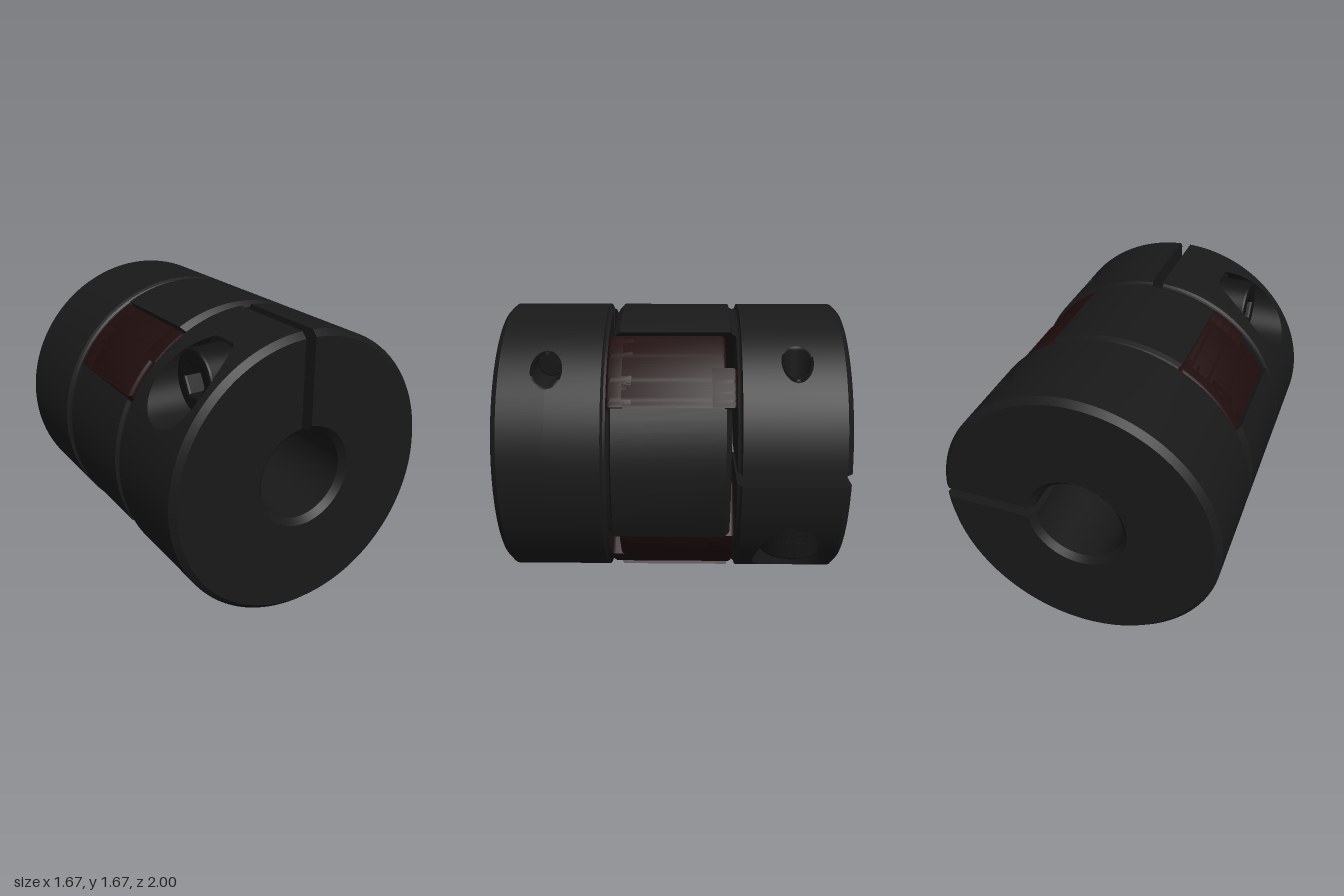
import * as THREE from 'three';
import { mergeGeometries, toCreasedNormals } from 'three/addons/utils/BufferGeometryUtils.js';

const R = 0.833, BORE = 0.265, SLIT = 0.033, FACE = 0.367;
const SCREW_Y = 0.567, SCREW_Z = 0.7;             // clamp screw axis runs along x
const POCKET_R = 0.215, POCKET_X = 0.33, HOLE_R = 0.09, HOLE_X = 0.4;

const dark = new THREE.MeshStandardMaterial({ color: 0x191919, side: THREE.DoubleSide });
const steel = new THREE.MeshStandardMaterial({ color: 0x131313 });
const red = new THREE.MeshStandardMaterial({ color: 0x200d0d });

function mesh(name, geometry, material) {
  const m = new THREE.Mesh(geometry, material);
  m.name = name;
  return m;
}

// Surface over a (nu x nv) grid; fn(u, v) returns [x, y, z]
function grid(nu, nv, fn) {
  const pos = [], idx = [];
  for (let j = 0; j <= nv; j++) for (let i = 0; i <= nu; i++) pos.push(...fn(i / nu, j));
  for (let j = 0; j < nv; j++) for (let i = 0; i < nu; i++) {
    const a = j * (nu + 1) + i, b = a + nu + 1;
    idx.push(a, a + 1, b, a + 1, b + 1, b);
  }
  const g = new THREE.BufferGeometry();
  g.setAttribute('position', new THREE.Float32BufferAttribute(pos, 3));
  g.setIndex(idx);
  g.computeVertexNormals();
  return g;
}

// Point on a ring that is open at the clamp slit
function ringPoint(u, r, z) {
  const gap = Math.asin(SLIT / r);
  const a = Math.PI / 2 + gap + u * 2 * (Math.PI - gap);
  return [r * Math.cos(a), r * Math.sin(a), z];
}

const surfaceX = y => Math.sqrt(Math.max(0, R * R - y * y));
const POCKET_TOP = surfaceX(POCKET_X);

// Half width along z of the screw openings in the outer skin
function opening(u) {
  const [x, y] = ringPoint(u, R, 0);
  const r = x < -POCKET_X ? POCKET_R : x > HOLE_X ? HOLE_R : 0;
  return Math.sqrt(Math.max(0, r * r - (y - SCREW_Y) ** 2));
}

function hubBody() {
  const parts = [];
  const band = (p, q) => parts.push(grid(180, 1, (u, j) => ringPoint(u, ...(j ? q : p))));
  // groove, end chamfers, faces and bore
  const groove = [[0.8, FACE], [0.806, 0.38], [0.818, 0.389], [R, 0.393]];
  const rest = [[R, 0.967], [0.8, 1], [0.3, 1], [BORE, 0.965], [BORE, FACE], [0.8, FACE]];
  for (const line of [groove, rest])
    for (let i = 0; i + 1 < line.length; i++) band(line[i], line[i + 1]);
  // outer skin, parted around the screw openings
  parts.push(grid(720, 1, (u, j) => ringPoint(u, R, j ? SCREW_Z - opening(u) : 0.393)));
  parts.push(grid(720, 1, (u, j) => ringPoint(u, R, j ? 0.967 : SCREW_Z + opening(u))));
  // screw head pocket: wall and floor
  const pocket = (u, r) => [
    Math.min(POCKET_TOP, SCREW_Y + r * Math.cos(u * 2 * Math.PI)),
    SCREW_Z + r * Math.sin(u * 2 * Math.PI)];
  parts.push(grid(96, 1, (u, j) => {
    const [y, z] = pocket(u, POCKET_R);
    return [j ? -POCKET_X : -surfaceX(y), y, z];
  }));
  parts.push(grid(96, 1, (u, j) => [-POCKET_X, ...pocket(u, j ? POCKET_R : 0.05)]));
  // threaded hole on the far side
  const turns = 20;
  parts.push(grid(40, turns, (u, j) => {
    const r = j === turns || j % 2 ? HOLE_R : HOLE_R - 0.014;
    const [y, z] = pocket(u, r);
    return [Math.min(j === turns ? 1 : HOLE_X + j * 0.0145, surfaceX(y)), y, z];
  }));
  return mergeGeometries(parts);
}

// Walls of the clamp slit
function slitWall(x) {
  const s = new THREE.Shape([[FACE, BORE], [0.965, BORE], [1, 0.3], [1, 0.8], [0.967, R],
    [0.393, R], [0.38, 0.806], [FACE, 0.8]].map(p => new THREE.Vector2(...p)));
  const g = new THREE.ShapeGeometry(s).rotateY(-Math.PI / 2).translate(x, 0, 0);
  return mesh('slitWall', g, dark);
}

// Jaw: sector section with sides parallel to the neighbouring spider legs
function jaw() {
  const rows = [[-0.333, 0.8], [-0.333, 0.8], [-0.303, R], [0.335, R], [0.345, 0.811],
    [FACE, 0.8]];
  const section = (r) => {
    const pts = [];
    for (const [rad, dir] of [[r, 1], [0.4, -1]]) {
      const half = Math.PI / 4 - Math.asin(0.25 / rad);
      for (let i = 0; i <= 12; i++) {
        const a = dir * half * (i / 6 - 1);
        pts.push([rad * Math.cos(a), rad * Math.sin(a)]);
      }
    }
    pts.push(pts[0]);
    return pts;
  };
  const g = grid(26, rows.length - 1, (u, j) => {
    const [z, r] = rows[j];
    return j === 0 ? [0.6, 0, z] : [...section(r)[Math.round(u * 26)], z];
  });
  return toCreasedNormals(g, 0.5);
}

function clampScrew() {
  const g = new THREE.Group();
  g.name = 'clampScrew';
  // threaded shank
  const pts = [new THREE.Vector2(0, -0.43)];
  for (let i = 0; i <= 50; i++)
    pts.push(new THREE.Vector2(i % 2 ? 0.088 : 0.072, -0.43 + i * 0.0154));
  const shank = toCreasedNormals(new THREE.LatheGeometry(pts, 32), 0.3).rotateZ(Math.PI / 2);
  g.add(mesh('shank', shank, steel));
  // head with hex socket
  const base = new THREE.CylinderGeometry(0.18, 0.18, 0.09, 48).rotateZ(Math.PI / 2);
  g.add(mesh('headBase', base.translate(-0.375, 0, 0), steel));
  const rim = new THREE.Shape().absarc(0, 0, 0.18, 0, Math.PI * 2);
  const hex = [];
  for (let i = 0; i < 6; i++)
    hex.push(new THREE.Vector2(Math.cos(i * Math.PI / 3), Math.sin(i * Math.PI / 3)).multiplyScalar(0.1));
  rim.holes.push(new THREE.Path(hex));
  const head = new THREE.ExtrudeGeometry(rim, { depth: 0.09, curveSegments: 48,
    bevelSize: 0.015, bevelThickness: 0.015, bevelOffset: -0.015, bevelSegments: 2 });
  g.add(mesh('headSocket', head.rotateY(-Math.PI / 2).translate(-0.42, 0, 0), steel));
  g.position.set(0, SCREW_Y, SCREW_Z);
  return g;
}

function hub(name) {
  const g = new THREE.Group();
  g.name = name;
  g.add(mesh('hubBody', hubBody(), dark), slitWall(SLIT), slitWall(-SLIT), clampScrew());
  for (const a of [0, Math.PI]) {
    const j = mesh('jaw', jaw(), dark);
    j.rotation.z = a;
    g.add(j);
  }
  return g;
}

// Radial bar with a rounded outer end, between side offsets a and b
function bar(start, a, b, z0, z1) {
  const r = 0.815, bevel = 0.025;
  const s = new THREE.Shape();
  s.moveTo(start, a);
  s.absarc(0, 0, r, Math.asin(a / r), Math.asin(b / r), false);
  s.lineTo(start, b);
  const g = new THREE.ExtrudeGeometry(s, { depth: z1 - z0 - 2 * bevel, curveSegments: 12,
    bevelSize: bevel, bevelThickness: bevel, bevelOffset: -bevel, bevelSegments: 4 });
  return toCreasedNormals(g.translate(0, 0, z0 + bevel), 0.6);
}

function spider() {
  const g = new THREE.Group();
  g.name = 'spider';
  g.add(mesh('spiderCore', new THREE.CylinderGeometry(0.395, 0.395, 0.61, 64).rotateX(Math.PI / 2), red));
  const w = 0.235;
  for (let k = 0; k < 4; k++) {
    const leg = new THREE.Group();
    leg.name = 'spiderLeg';
    leg.add(mesh('legBody', bar(0.3, -w, w, -0.305, 0.305), red));
    // spacer pads: full width on one face, half width on the other
    const full = mesh('fullPad', bar(0.43, -w, w, 0.2, 0.365), red);
    const half = mesh('halfPad', bar(0.43, -w, 0, -0.365, -0.2), red);
    const pads = new THREE.Group();
    pads.name = 'pads';
    pads.add(full, half);
    if (k % 2) {
      full.position.z = -0.565;
      half.position.z = 0.565;
    }
    leg.add(pads);
    leg.rotation.z = Math.PI / 4 + k * Math.PI / 2;
    g.add(leg);
  }
  return g;
}

export function createModel() {
  const model = new THREE.Group();
  model.name = 'jawCoupling';
  const front = hub('frontHub');
  // the back hub is the same part turned over about a diagonal
  const back = hub('backHub');
  back.quaternion.setFromAxisAngle(new THREE.Vector3(1, 1, 0).normalize(), Math.PI);
  const coupling = new THREE.Group();
  coupling.name = 'coupling';
  coupling.add(front, back, spider());
  coupling.position.y = R;
  model.add(coupling);
  return model;
}
